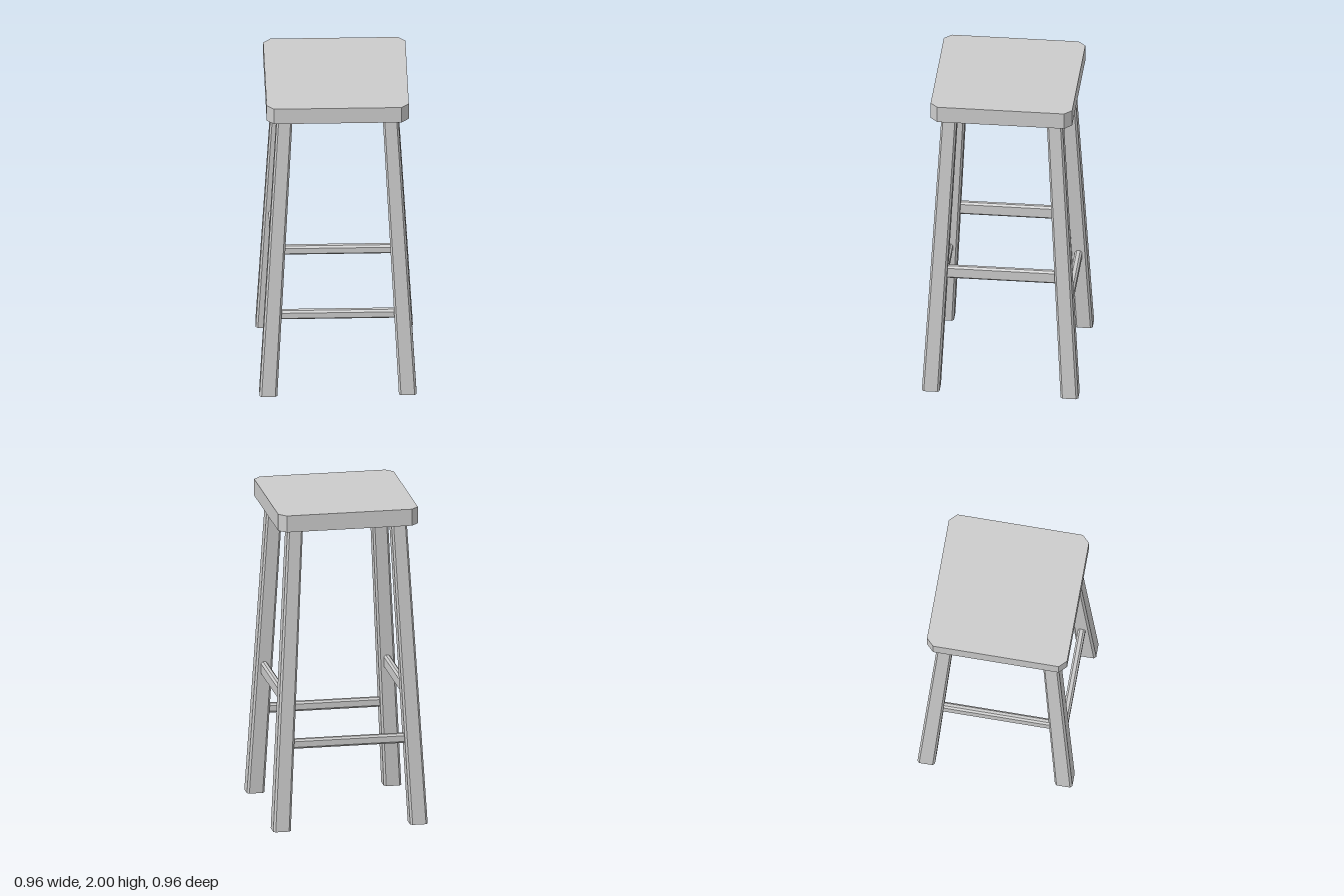
import * as THREE from 'three';

const material = new THREE.MeshStandardMaterial({ color: 0xcccccc, flatShading: true });

// Rectangle centred on the origin with cut corners
function chamferedRect(w, h, cx, cy = cx) {
  const a = w / 2, b = h / 2;
  return new THREE.Shape([
    [a, -b + cy], [a, b - cy], [a - cx, b], [-a + cx, b],
    [-a, b - cy], [-a, -b + cy], [-a + cx, -b], [a - cx, -b],
  ].map(([x, y]) => new THREE.Vector2(x, y)));
}

function prism(shape, depth) {
  return new THREE.ExtrudeGeometry(shape, { depth, bevelEnabled: false });
}

function addMesh(group, name, geometry) {
  const mesh = new THREE.Mesh(geometry, material);
  mesh.name = name;
  group.add(mesh);
  return mesh;
}

const SEAT_BOTTOM = 1.895;

// Splayed, slightly tapering leg; feet and top are cut level
function legGeometry(sx, sz) {
  const g = prism(chamferedRect(0.109, 0.109, 0.013), SEAT_BOTTOM).rotateX(-Math.PI / 2);
  const p = g.attributes.position;
  for (let i = 0; i < p.count; i++) {
    const t = p.getY(i) / SEAT_BOTTOM;
    const centre = THREE.MathUtils.lerp(0.4265, 0.3235, t);
    const scale = THREE.MathUtils.lerp(1, 0.88, t);
    p.setX(i, p.getX(i) * scale + sx * centre);
    p.setZ(i, p.getZ(i) * scale + sz * centre);
  }
  g.computeVertexNormals();
  return g;
}

export function createModel() {
  const stool = new THREE.Group();
  stool.name = 'stool';

  // Square seat with clipped corners
  const seat = prism(chamferedRect(0.87, 0.87, 0.045), 2 - SEAT_BOTTOM).rotateX(-Math.PI / 2);
  addMesh(stool, 'seat', seat).position.y = SEAT_BOTTOM;

  // Four legs
  for (const [z, end] of [[1, 'front'], [-1, 'back']]) {
    for (const [x, side] of [[1, 'Left'], [-1, 'Right']]) {
      addMesh(stool, `${end}${side}Leg`, legGeometry(x, z));
    }
  }

  // Low rungs at front and back, running along x
  for (const [s, name] of [[1, 'frontRung'], [-1, 'backRung']]) {
    const rung = prism(chamferedRect(0.045, 0.06, 0.012), 0.74).translate(0, 0, -0.37).rotateY(Math.PI / 2);
    addMesh(stool, name, rung).position.set(0, 0.535, s * 0.398);
  }

  // Taller, higher rungs at the sides, running along z
  for (const [s, name] of [[1, 'leftRung'], [-1, 'rightRung']]) {
    const rung = prism(chamferedRect(0.042, 0.085, 0.012), 0.71).translate(0, 0, -0.355);
    addMesh(stool, name, rung).position.set(s * 0.383, 0.807, 0);
  }

  return stool;
}
